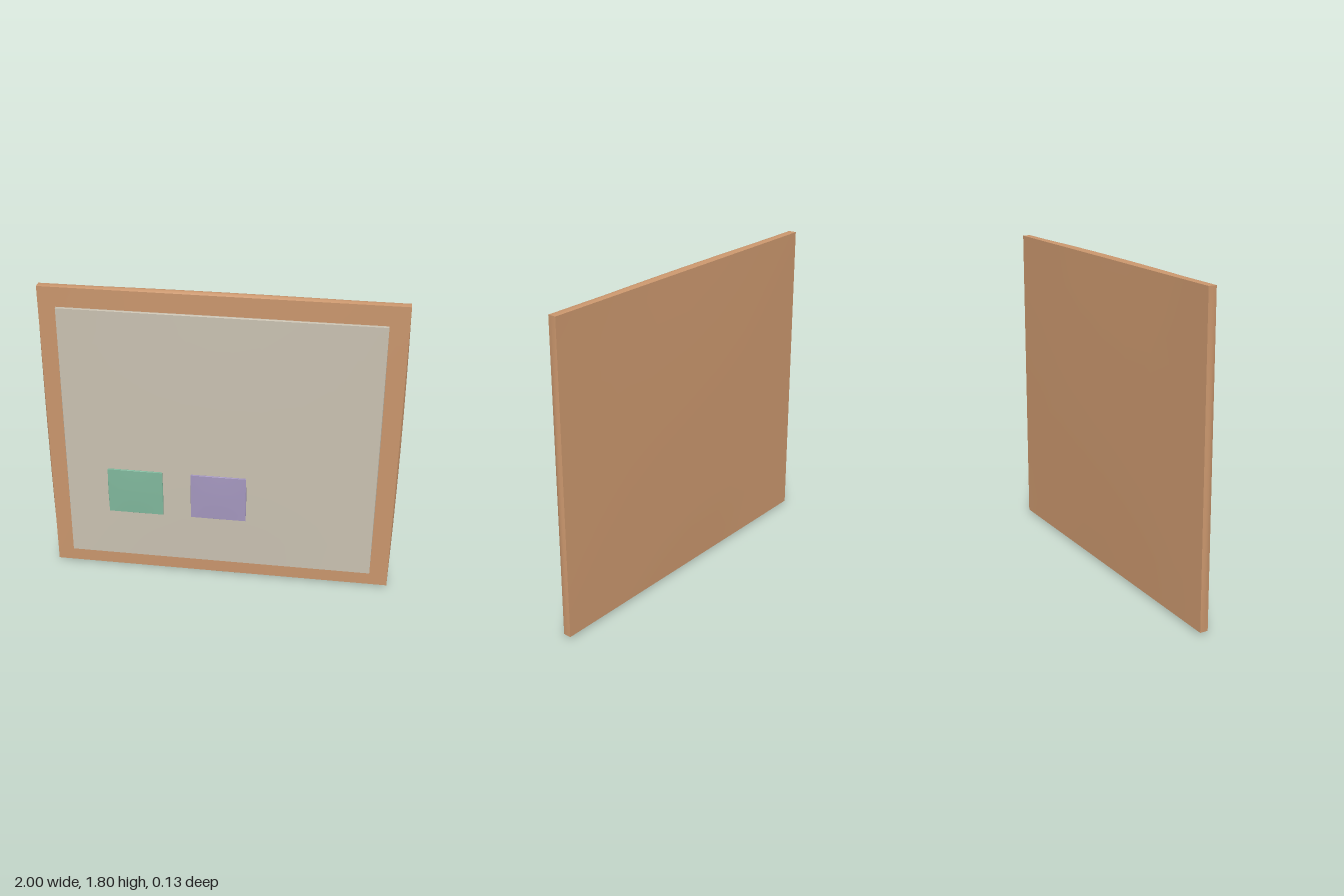
import * as THREE from 'three';

const material = (name, color) => {
  const m = new THREE.MeshStandardMaterial({ color });
  m.name = name;
  return m;
};

// Box whose six faces swell gently outward at their middles
function pillowSlab(name, mat, [w, h, d], [x, y, z], [bx, by, bz]) {
  const geo = new THREE.BoxGeometry(w, h, d, 8, 8, 4);
  const pos = geo.attributes.position;
  const normal = geo.attributes.normal;
  for (let i = 0; i < pos.count; i++) {
    const u = pos.getX(i) / (w / 2), v = pos.getY(i) / (h / 2), t = pos.getZ(i) / (d / 2);
    const fu = 1 - u * u, fv = 1 - v * v, ft = 1 - t * t;
    pos.setXYZ(i,
      pos.getX(i) + normal.getX(i) * bx * fv * ft,
      pos.getY(i) + normal.getY(i) * by * fu * ft,
      pos.getZ(i) + normal.getZ(i) * bz * fu * fv);
  }
  geo.computeVertexNormals();
  const mesh = new THREE.Mesh(geo, mat);
  mesh.name = name;
  mesh.position.set(x, y, z);
  return mesh;
}

export function createModel() {
  const model = new THREE.Group();
  model.name = 'noticeBoard';
  const wood = material('wood', 0xc8956c);
  const paper = material('paper', 0xc8c0b0);
  const green = material('green', 0x7fb69b);
  const purple = material('purple', 0xa396bd);

  // Wooden backing and the raised panel floating just in front
  model.add(pillowSlab('backBoard', wood, [1.98, 1.78, 0.046], [0, 0.905, -0.034], [0.01, 0.012, 0.01]));
  model.add(pillowSlab('panel', paper, [1.768, 1.57, 0.02], [0, 0.905, 0.018], [0.004, 0.004, 0.005]));

  // Two square notes
  const notes = [['greenNote', green, -0.481], ['purpleNote', purple, -0.001]];
  for (const [name, mat, x] of notes) {
    model.add(pillowSlab(name, mat, [0.315, 0.282, 0.011], [x, 0.582, 0.056], [0.003, 0.003, 0.003]));
  }
  return model;
}
